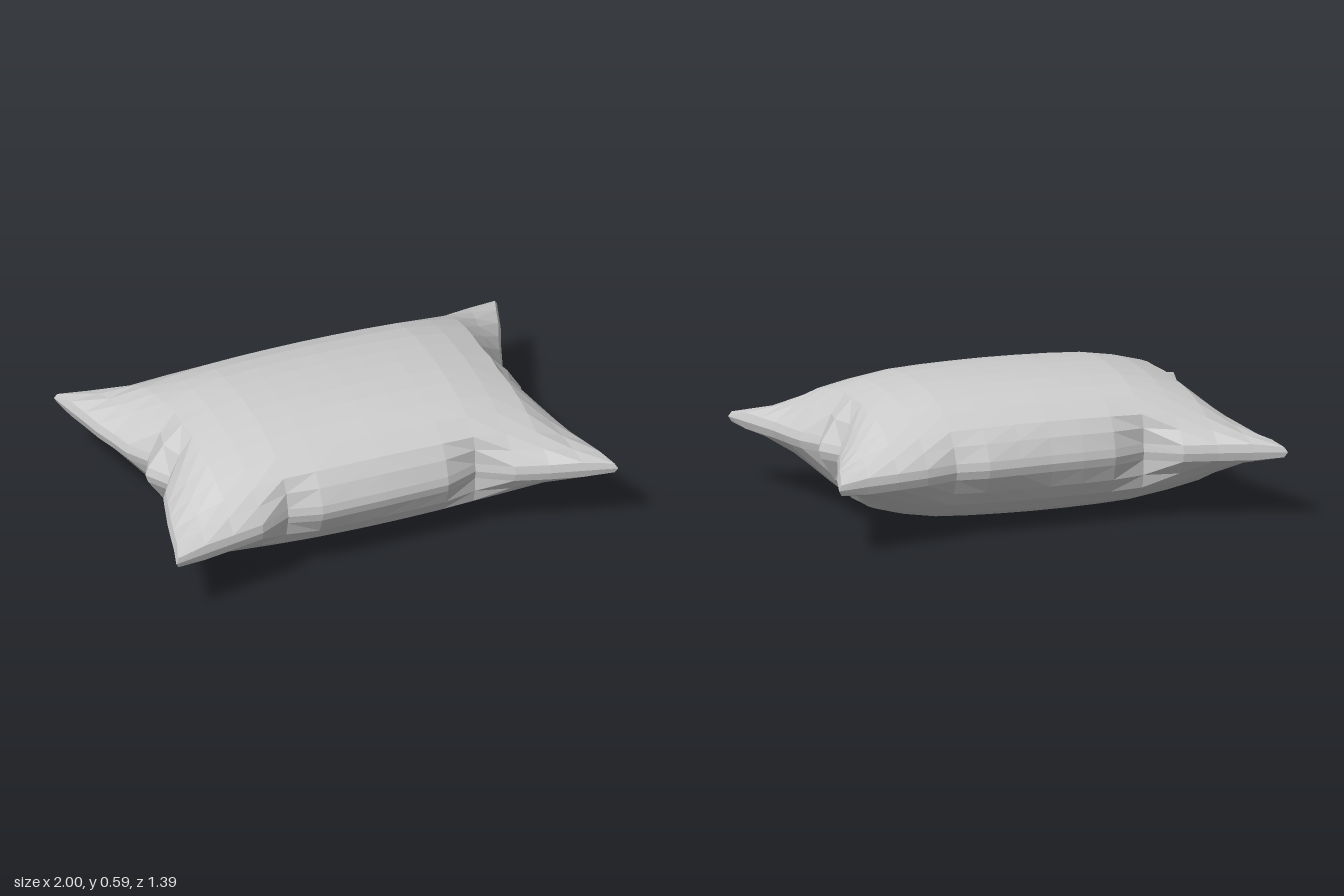
import * as THREE from 'three';

const N = 7;                 // grid cells from centre to rim
const MID = 0.295;           // height of the seam
const RIM = 0.035;           // half thickness of the rim band
const STEP_X = 1 / N, STEP_Z = 0.69 / N;

// Puckered outline: rim position at each grid line, from -N to N
const backZ = [-0.70, -0.655, -0.615, -0.58, -0.485, -0.535, -0.545, -0.55, -0.56, -0.57, -0.555, -0.60, -0.63, -0.655, -0.685];
const frontZ = [0.69, 0.66, 0.63, 0.60, 0.525, 0.56, 0.557, 0.555, 0.55, 0.545, 0.49, 0.575, 0.62, 0.655, 0.69];
const rightX = [-0.99, -0.968, -0.945, -0.925, -0.895, -0.87, -0.81, -0.86, -0.80, -0.86, -0.89, -0.92, -0.945, -0.97, -1];
const leftX = [1, 0.97, 0.94, 0.90, 0.865, 0.83, 0.785, 0.84, 0.80, 0.855, 0.88, 0.90, 0.93, 0.96, 0.99];

// Fullness from centre to rim, across the width and the depth
const fullX = [1, 0.993, 0.975, 0.94, 0.84, 0.69, 0.37, 0];
const fullZ = [1, 0.99, 0.95, 0.87, 0.73, 0.50, 0.27, 0];
// How far the puckers reach in from the rim
const pull = [0, 0, 0, 0, 0.02, 0.13, 0.55, 1];

// Point on one half; indices beyond N fold round to the seam
function padPoint(i, j, side) {
  const seam = Math.max(Math.abs(i), Math.abs(j)) > N;
  const a = THREE.MathUtils.clamp(i, -N, N), b = THREE.MathUtils.clamp(j, -N, N);
  const ai = Math.abs(a), aj = Math.abs(b);
  const edgeX = (a < 0 ? rightX : leftX)[b + N];
  const edgeZ = (b < 0 ? backZ : frontZ)[a + N];
  let x = a * STEP_X, z = b * STEP_Z;
  x += pull[ai] * (edgeX - Math.sign(a));
  z += pull[aj] * (edgeZ - Math.sign(b) * 0.69);
  if (seam) return [x, MID, z];
  if (ai === N) x *= 0.987;
  if (aj === N) z *= 0.987;
  const rim = ai === N && aj === N ? 0.022 : RIM;
  return [x, MID + side * (rim + (MID - RIM) * fullX[ai] * fullZ[aj]), z];
}

// One half of the cushion, seam strip included
function halfGeometry(side) {
  const M = N + 1, W = 2 * M + 1;
  const positions = [], index = [];
  for (let j = -M; j <= M; j++)
    for (let i = -M; i <= M; i++) positions.push(...padPoint(i, j, side));
  for (let j = 0; j < W - 1; j++)
    for (let i = 0; i < W - 1; i++) {
      const endI = i === 0 || i === W - 2, endJ = j === 0 || j === W - 2;
      if (endI && endJ) continue; // seam strips already meet at the corner
      const a = j * W + i, b = a + 1, c = a + W, d = c + 1;
      // mirror the diagonal between opposite quarters
      const quads = (i < M) === (j < M) ? [a, c, d, a, d, b] : [a, c, b, b, c, d];
      if (side < 0) quads.reverse();
      index.push(...quads);
    }
  const g = new THREE.BufferGeometry();
  g.setAttribute('position', new THREE.Float32BufferAttribute(positions, 3));
  g.setIndex(index);
  g.computeVertexNormals();
  return g;
}

export function createModel() {
  const group = new THREE.Group();
  group.name = 'pillow';
  const fabric = new THREE.MeshStandardMaterial({ color: 0xcccccc, flatShading: true, side: THREE.DoubleSide });
  for (const [name, side] of [['upperHalf', 1], ['lowerHalf', -1]]) {
    const mesh = new THREE.Mesh(halfGeometry(side), fabric);
    mesh.name = name;
    group.add(mesh);
  }
  return group;
}
